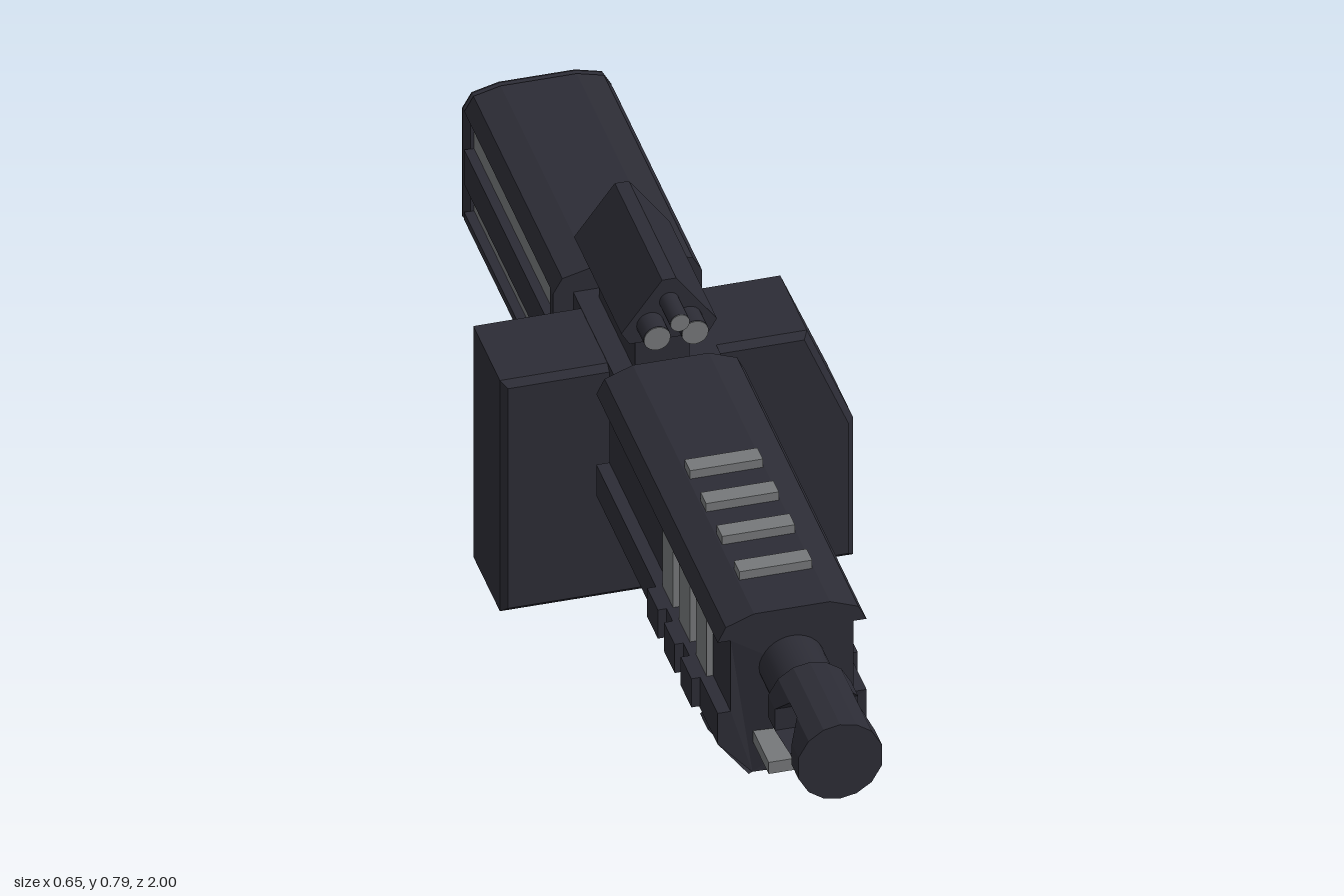
import * as THREE from 'three';
import { mergeGeometries } from 'three/addons/utils/BufferGeometryUtils.js';

const CX = -0.027; // centre line of the body
const dark = new THREE.MeshStandardMaterial({ color: 0x2c2c35 });
dark.name = 'charcoal';
const grey = new THREE.MeshStandardMaterial({ color: 0x76787a });
grey.name = 'grey';

// right half of a section, listed top to bottom, mirrored to a closed outline
const mirror = (half) => [...half, ...half.map(([x, y]) => [-x, y]).reverse()];

// outline in x-y, extruded from z0 to z1, with an optional chamfer
function prism(points, z0, z1, bevel = 0, hole) {
  const shape = new THREE.Shape(points.map(([x, y]) => new THREE.Vector2(x, y)));
  if (hole) shape.holes.push(new THREE.Path(hole.map(([x, y]) => new THREE.Vector2(x, y))));
  const g = new THREE.ExtrudeGeometry(shape, {
    depth: z1 - z0 - 2 * bevel, bevelEnabled: bevel > 0, bevelThickness: bevel,
    bevelSize: bevel, bevelOffset: -bevel, bevelSegments: 1,
  });
  return g.translate(0, 0, z0 + bevel);
}

// box from its two extreme corners
function block(x0, x1, y0, y1, z0, z1) {
  return new THREE.BoxGeometry(x1 - x0, y1 - y0, z1 - z0)
    .translate((x0 + x1) / 2, (y0 + y1) / 2, (z0 + z1) / 2);
}

function tube(r, x, y, z0, z1, sides = 32) {
  return new THREE.CylinderGeometry(r, r, z1 - z0, sides).rotateX(Math.PI / 2).translate(x, y, (z0 + z1) / 2);
}

// round muzzle with an octagonal hole through its sides, in horizontal slices
function muzzleGeometry() {
  const R = 0.08, zc = 0.9, half = 0.1;
  const levels = [-0.08, -0.074, -0.055, -0.023, 0.023, 0.055, 0.074, 0.08];
  const width = (y) => Math.sqrt(Math.max(0, R * R - y * y));
  const gap = (y) => (Math.abs(y) > 0.04 ? 0.023 : 0.055);
  const parts = [];
  const slice = (yA, yB, zBack, zFront) => {
    const g = new THREE.BoxGeometry(1, 1, 1);
    const p = g.attributes.position;
    for (let i = 0; i < p.count; i++) {
      const y = p.getY(i) < 0 ? yA : yB;
      p.setXYZ(i, 2 * p.getX(i) * width(y), y, p.getZ(i) < 0 ? zBack(y) : zFront(y));
    }
    g.computeVertexNormals();
    parts.push(g);
  };
  for (let i = 0; i < levels.length - 1; i++) {
    const a = levels[i], b = levels[i + 1];
    if (Math.abs(a + b) / 2 > 0.055) slice(a, b, () => -half, () => half);
    else {
      slice(a, b, () => -half, (y) => -gap(y));
      slice(a, b, gap, () => half);
    }
  }
  return mergeGeometries(parts).translate(0, 0.475, zc);
}

export function createModel() {
  const root = new THREE.Group();
  root.name = 'blaster';
  const body = new THREE.Group();
  body.name = 'body';
  body.position.x = CX;
  root.add(body);
  const add = (name, geometry, material = dark, parent = body) => {
    const m = new THREE.Mesh(geometry, material);
    m.name = name;
    parent.add(m);
    return m;
  };

  // handguard with recessed sides and a chamfered lower front edge
  const guard = prism(mirror([[0.07, 0.595], [0.122, 0.575], [0.137, 0.545], [0.113, 0.545], [0.113, 0.392],
    [0.137, 0.392], [0.137, 0.325], [0.08, 0.25], [0.066, 0.235]]), -0.11, 0.685);
  const gp = guard.attributes.position;
  for (let i = 0; i < gp.count; i++) if (gp.getZ(i) > 0.6 && gp.getY(i) < 0.24) gp.setZ(i, 0.66);
  guard.computeVertexNormals();
  add('handguard', guard);

  // vents and ribs along the handguard
  for (const z of [0.237, 0.342, 0.447, 0.56]) {
    add('topVent', block(-0.067, 0.067, 0.59, 0.613, z - 0.018, z + 0.018), grey);
  }
  for (const s of [-1, 1]) {
    for (const z of [0.315, 0.425, 0.535]) {
      add('sideVent', block(s * 0.118 - 0.007, s * 0.118 + 0.007, 0.39, 0.545, z - 0.035, z + 0.035), grey);
      add('sideRib', block(s * 0.142 - 0.011, s * 0.142 + 0.011, 0.33, 0.392, z - 0.035, z + 0.035));
    }
  }
  for (const z of [0.255, 0.365, 0.48, 0.595]) {
    add('lowerRib', prism(mirror([[0.128, 0.325], [0.137, 0.313], [0.087, 0.243], [0.07, 0.23]]),
      z - 0.025, z + 0.025));
  }
  add('frontTongue', block(-0.067, 0.067, 0.305, 0.33, 0.6, 0.77), grey);

  // barrel
  add('barrel', tube(0.06, 0, 0.475, 0.66, 0.81));
  add('muzzle', muzzleGeometry());

  // receiver and the wide side plate
  add('receiver', block(-0.1, 0.1, 0.37, 0.567, -0.41, -0.1));
  add('magazine', prism([[-0.325, 0.065], [0.325, 0.065], [0.325, 0.362], [0.24, 0.567], [-0.325, 0.565]],
    -0.355, -0.157, 0.012), dark, root);

  // stock: grooved core between two full end sections
  const outer = [[0.07, 0.613], [0.12, 0.6], [0.137, 0.57]];
  const lower = [[0.137, 0.352], [0.137, 0.335], [0.11, 0.305]];
  const grooves = [[0.113, 0.57], [0.113, 0.487], [0.137, 0.487], [0.137, 0.412], [0.113, 0.412], [0.113, 0.352]];
  add('stockCore', prism(mirror([...outer, ...grooves, ...lower]), -0.976, -0.414));
  add('stockFrontEnd', prism(mirror([...outer, ...lower]), -0.415, -0.393));
  add('stockRearEnd', prism(mirror([...outer, ...lower]), -1, -0.975, 0.011));
  for (const s of [-1, 1]) {
    for (const [y0, y1] of [[0.487, 0.57], [0.352, 0.412]]) {
      add('stockStrip', block(s * 0.115 - 0.004, s * 0.115 + 0.004, y0, y1, -0.975, -0.415), grey);
    }
  }

  // open grip, drawn in the side plane and turned to face sideways
  const grip = prism(
    [[0.475, 0.32], [0.5, 0.285], [0.515, 0.235], [0.523, 0.17], [0.523, 0.08], [0.5, 0.02], [0.505, 0.003],
      [0.515, 0], [0.675, 0], [0.683, 0.01], [0.695, 0.09], [0.703, 0.18], [0.7, 0.25], [0.675, 0.32]],
    -0.042, 0.042, 0.006,
    [[0.54, 0.312], [0.56, 0.25], [0.572, 0.18], [0.57, 0.065], [0.643, 0.065], [0.654, 0.17], [0.65, 0.23], [0.625, 0.312]]);
  add('grip', grip.rotateY(Math.PI / 2)).position.x = -0.004;

  // sight on its mount, with three lens tubes
  const sight = new THREE.Group();
  sight.name = 'sight';
  sight.position.x = -0.037;
  root.add(sight);
  add('sightMount', block(-0.05, 0.05, 0.55, 0.67, -0.368, -0.13), dark, sight);
  add('sightBody', prism(mirror([[0.013, 0.787], [0.088, 0.685], [0.073, 0.66]]), -0.395, -0.085), dark, sight);
  for (const [x, y, r, z] of [[-0.035, 0.696, 0.025, -0.04], [0.035, 0.696, 0.025, -0.04], [0, 0.74, 0.018, -0.015]]) {
    add('lensTube', tube(r, x, y, -0.1, z, 20), dark, sight);
    add('lens', tube(r * 0.97, x, y, z - 0.002, z + 0.002, 20), grey, sight);
  }
  return root;
}
